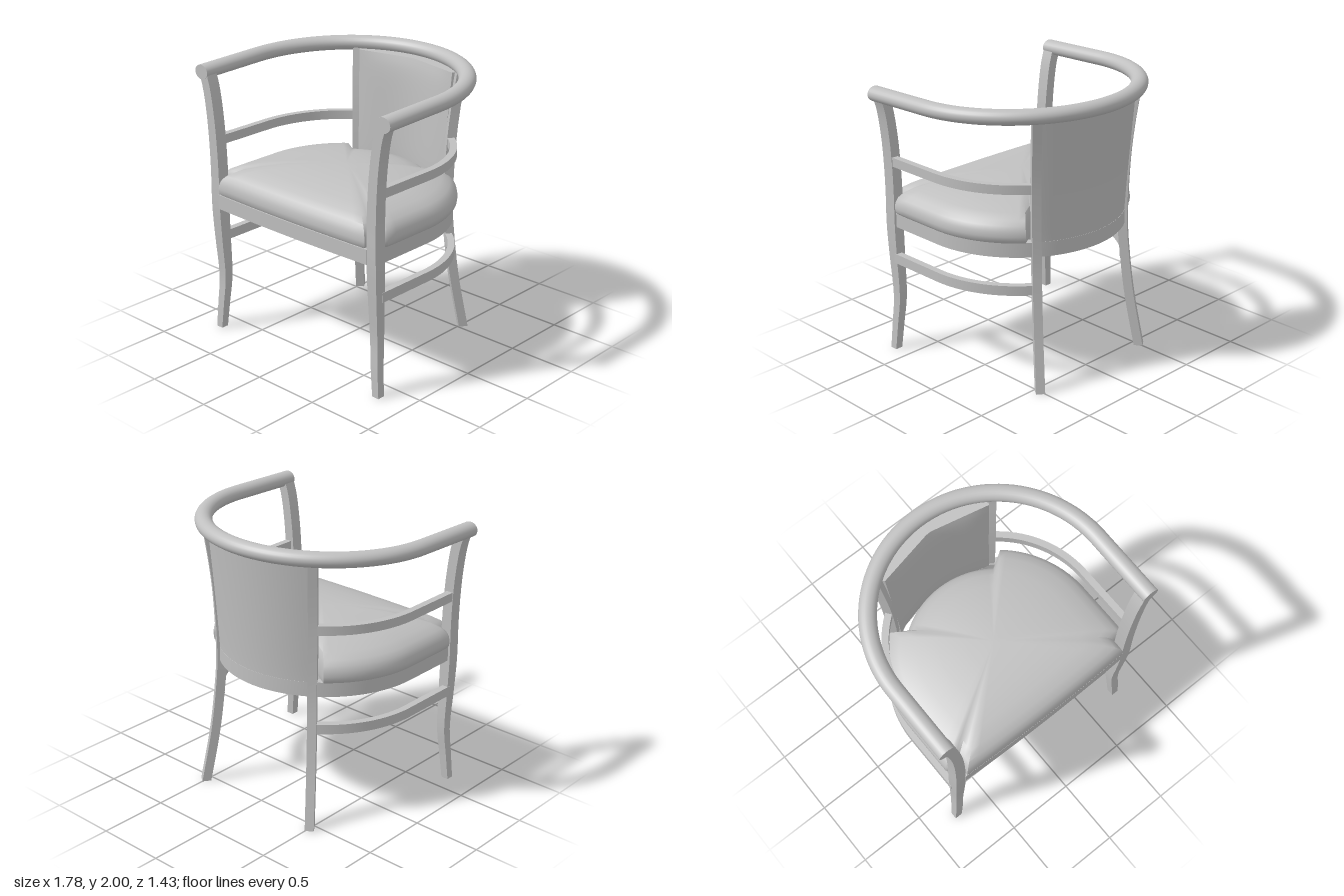
import * as THREE from 'three';
import { toCreasedNormals } from 'three/addons/utils/BufferGeometryUtils.js';

const CZ = 0.17; // centre of the curved back, in z
const V = (x, y, z) => new THREE.Vector3(x, y, z);

// Skins a list of closed rings and caps both ends; faces always point outward.
function loft(rings, crease = 0.6) {
  const n = rings[0].length, pos = [], tris = [];
  const tri = (a, b, c) => tris.push([a, b, c]);
  for (let i = 0; i < rings.length - 1; i++) {
    for (let j = 0; j < n; j++) {
      const k = (j + 1) % n, A = rings[i], B = rings[i + 1];
      tri(A[j], A[k], B[k]);
      tri(A[j], B[k], B[j]);
    }
  }
  const cap = (ring, flip) => {
    const c = ring.reduce((s, p) => s.add(p), V(0, 0, 0)).divideScalar(n);
    ring.forEach((p, j) => {
      const q = ring[(j + 1) % n];
      flip ? tri(c, q, p) : tri(c, p, q);
    });
  };
  cap(rings[0], true);
  cap(rings[rings.length - 1], false);
  const volume = tris.reduce((s, [a, b, c]) => s + a.dot(b.clone().cross(c)), 0);
  for (const [a, b, c] of tris) {
    for (const p of volume > 0 ? [a, b, c] : [a, c, b]) pos.push(p.x, p.y, p.z);
  }
  const g = new THREE.BufferGeometry();
  g.setAttribute('position', new THREE.Float32BufferAttribute(pos, 3));
  return toCreasedNormals(g, crease);
}

// Horseshoe path: straight side, then an arc by `angle` round the back.
function horseshoe(radius, zFront, angle) {
  const pts = [{ x: radius, z: zFront, nx: 1, nz: 0 }];
  const steps = Math.round(angle * 18);
  for (let i = 0; i <= steps; i++) {
    const a = (angle * i) / steps, nx = Math.cos(a), nz = -Math.sin(a);
    pts.push({ x: radius * nx, z: CZ + radius * nz, nx, nz });
  }
  if (angle > 3) pts.push({ x: -radius, z: zFront, nx: -1, nz: 0 });
  return pts;
}

// Sweeps a section of [outward, up] pairs along a path.
const sweep = (path, section, lift = () => 0) => loft(path.map((p) =>
  section.map(([o, y]) => V(p.x + p.nx * o, y + lift(p.z), p.z + p.nz * o))));

const bar = (y0, y1, half) => [[-half, y0], [half, y0], [half, y1], [-half, y1]];

// Curved leg from rows of [y, x, z, width, depth], turned by `turn` about y.
function leg(rows, turn, side) {
  const centre = new THREE.CatmullRomCurve3(rows.map((r) => V(r[1], r[0], r[2])));
  const size = new THREE.CatmullRomCurve3(rows.map((r) => V(r[3], r[0], r[4])));
  const c = Math.cos(turn), s = Math.sin(turn), rings = [];
  for (let i = 0; i <= 32; i++) {
    const p = centre.getPoint(i / 32), w = size.getPoint(i / 32);
    rings.push([[-1, -1], [1, -1], [1, 1], [-1, 1]].map(([a, b]) => {
      const u = (a * w.x) / 2, v = (b * w.z) / 2;
      return V(side * (p.x + u * c + v * s), p.y, p.z - u * s + v * c);
    }));
  }
  return loft(rings);
}

// Seat plan: bowed front, notches for the front legs, rounded sides and back.
function seatPlan() {
  const right = [];
  for (let i = 0; i <= 8; i++) {
    const x = (0.688 * i) / 8;
    right.push([x, 0.714 - 0.03 * x * x]);
  }
  right.push([0.69, 0.65], [0.69, 0.6], [0.735, 0.6], [0.77, 0.598], [0.783, 0.58]);
  for (let i = 1; i < 5; i++) right.push([0.785, 0.58 - 0.082 * i]);
  for (let i = 0; i <= 14; i++) {
    const a = (0.86 * i) / 14;
    right.push([0.785 * Math.cos(a), CZ - 0.785 * Math.sin(a)]);
  }
  for (let i = 0; i <= 10; i++) {
    const a = 0.93 + ((Math.PI / 2 - 0.93) * i) / 10;
    right.push([0.64 * Math.cos(a), CZ - 0.64 * Math.sin(a)]);
  }
  const left = right.slice(1, -1).reverse().map(([x, z]) => [-x, z]);
  return [...right, ...left];
}

export function createModel() {
  const group = new THREE.Group();
  const grey = new THREE.MeshStandardMaterial({ color: 0xc0c0c0 });
  grey.name = 'light grey';
  const add = (name, geometry) => {
    const mesh = new THREE.Mesh(geometry, grey);
    mesh.name = name;
    group.add(mesh);
    return mesh;
  };

  // Round arm and top rail, rising gently toward the back
  const oval = [];
  for (let i = 0; i < 24; i++) {
    const a = (i / 24) * Math.PI * 2;
    oval.push([0.06 * Math.cos(a), 0.052 * Math.sin(a)]);
  }
  add('armRail', sweep(horseshoe(0.83, 0.69, Math.PI), oval,
    (z) => 1.91 + (0.038 * (0.69 - z)) / 1.35));

  // Legs, arm bars and low stretchers, mirrored
  const frontRows = [
    [0, 0.763, 0.647, 0.055, 0.055], [0.2, 0.745, 0.637, 0.06, 0.06],
    [0.4, 0.731, 0.623, 0.064, 0.066], [0.7, 0.733, 0.635, 0.074, 0.08],
    [0.95, 0.735, 0.644, 0.08, 0.088], [1.2, 0.734, 0.644, 0.078, 0.088],
    [1.4, 0.74, 0.644, 0.076, 0.088], [1.6, 0.755, 0.644, 0.074, 0.088],
    [1.8, 0.785, 0.644, 0.074, 0.088], [1.92, 0.822, 0.644, 0.078, 0.088]];
  const backRows = [
    [0, 0.505, -0.55, 0.062, 0.064], [0.4, 0.462, -0.487, 0.062, 0.064],
    [0.7, 0.44, -0.455, 0.062, 0.064], [0.95, 0.428, -0.438, 0.062, 0.066],
    [1.4, 0.438, -0.442, 0.062, 0.066], [1.65, 0.452, -0.46, 0.062, 0.066],
    [1.92, 0.476, -0.489, 0.062, 0.066]];
  for (const [label, side] of [['left', 1], ['right', -1]]) {
    add(label + 'FrontLeg', leg(frontRows, 0, side));
    add(label + 'BackLeg', leg(backRows, -0.62, side));
    const path = horseshoe(0.75, 0.62, 0.95);
    path.forEach((p) => { p.x *= side; p.nx *= side; });
    add(label + 'ArmBar', sweep(path, bar(1.395, 1.46, 0.024)));
    add(label + 'Stretcher', sweep(path, bar(0.675, 0.745, 0.024)));
  }

  // Seat frame: horseshoe apron and a slightly bowed front board
  add('apron', sweep(horseshoe(0.73, 0.62, Math.PI), bar(0.945, 1.05, 0.028)));
  const bow = [];
  for (let i = 0; i <= 16; i++) {
    const x = -0.7 + (1.4 * i) / 16;
    bow.push({ x, z: 0.68 - 0.03 * x * x, nx: 0, nz: 1 });
  }
  add('frontApron', sweep(bow, bar(0.945, 1.05, 0.028)));

  // Seat board and domed cushion share one plan, scaled ring by ring
  const plan = seatPlan();
  const ring = (s, y) => plan.map(([x, z]) => V(x * s, y, 0.13 + (z - 0.13) * s));
  add('seatBoard', loft([ring(0.93, 0.99), ring(0.93, 1.052)]));
  const profile = [[0.975, 1.05], [0.995, 1.07], [1, 1.1], [0.992, 1.135], [0.97, 1.17],
    [0.93, 1.198], [0.85, 1.23], [0.7, 1.259], [0.5, 1.287], [0.25, 1.304], [0.04, 1.31]];
  add('seatCushion', loft(profile.map(([s, y]) => ring(s, y)), 0.8));

  // Curved padded backrest, leaning back toward the top
  const back = [], half = 0.6;
  for (let i = 0; i <= 20; i++) {
    const v = i / 20, y = 1.04 + 0.87 * v;
    const outer = 0.756 + 0.058 * Math.pow(v, 1.2);
    const puff = 0.7 + 0.3 * (1 - Math.pow(Math.abs(2 * v - 1), 6));
    const loop = [];
    for (let j = 0; j <= 20; j++) {
      const a = -half + (2 * half * j) / 20;
      loop.push(V(outer * Math.sin(a), y, CZ - outer * Math.cos(a)));
    }
    for (let j = 20; j >= 0; j--) {
      const u = -1 + (2 * j) / 20, a = half * u;
      const r = outer - 0.055 - 0.062 * puff * (1 - u * u * u * u);
      loop.push(V(r * Math.sin(a), y, CZ - r * Math.cos(a)));
    }
    back.push(loop);
  }
  add('backrest', loft(back, 0.7));

  return group;
}
